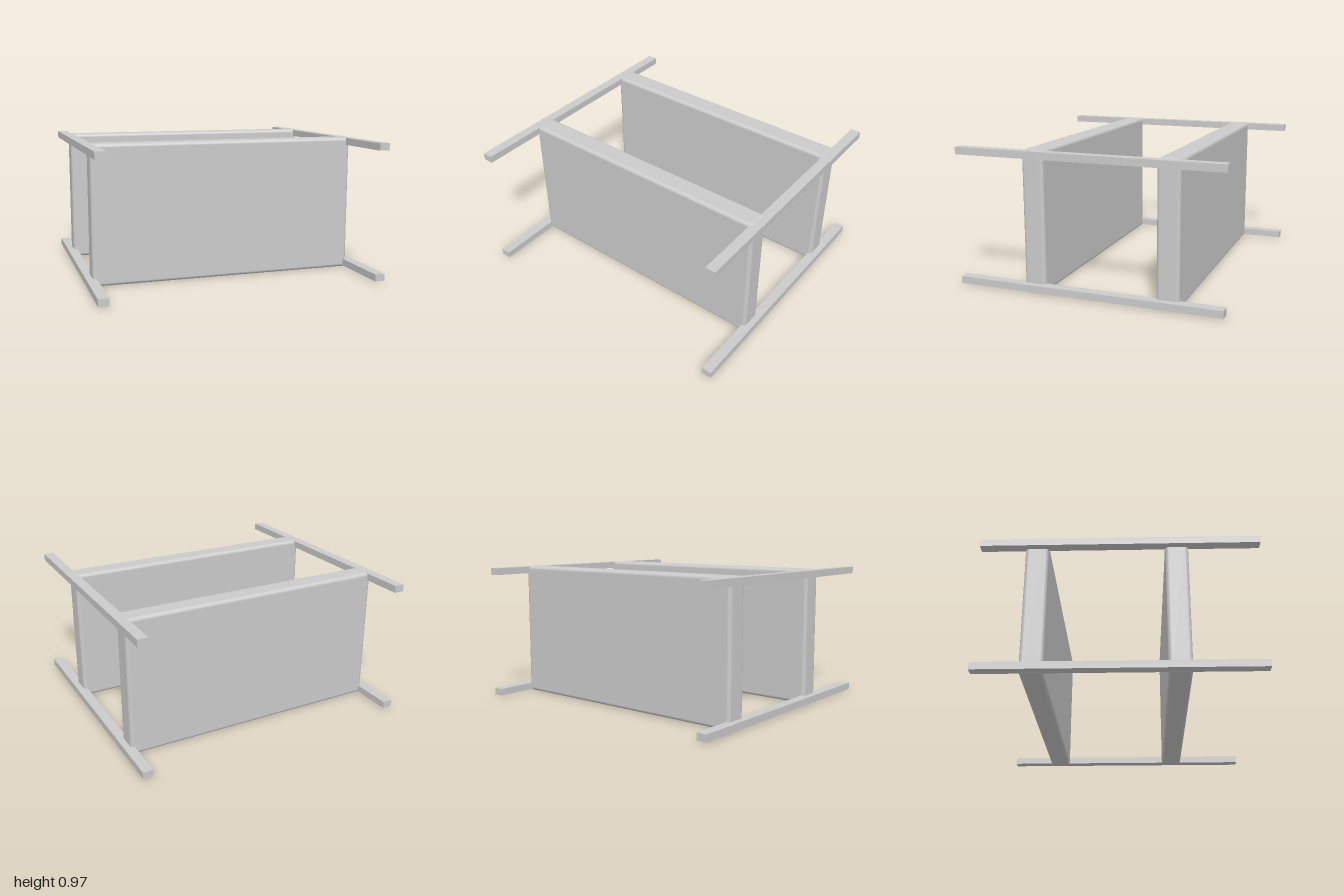
import * as THREE from 'three';
import { RoundedBoxGeometry } from 'three/addons/geometries/RoundedBoxGeometry.js';

export function createModel() {
  const model = new THREE.Group();
  model.name = 'shelfFrame';
  const material = new THREE.MeshStandardMaterial({ color: 0xcccccc });

  const add = (name, geometry, x, y, z) => {
    const mesh = new THREE.Mesh(geometry, material);
    mesh.name = name;
    mesh.position.set(x, y, z);
    model.add(mesh);
  };

  // Two upright panels with softly rounded edges
  const panel = new RoundedBoxGeometry(1.91, 0.972, 0.155, 5, 0.025);
  add('frontPanel', panel, 0, 0.486, 0.382);
  add('backPanel', panel, 0, 0.486, -0.557);

  // Four square-edged rails running front to back through the panel corners
  const rail = new THREE.BoxGeometry(0.072, 0.05, 1.87);
  for (const [side, x] of [['left', 0.964], ['right', -0.964]]) {
    add(side + 'LowerRail', rail, x, 0.034, 0);
    add(side + 'UpperRail', rail, x, 0.943, 0);
  }

  return model;
}
